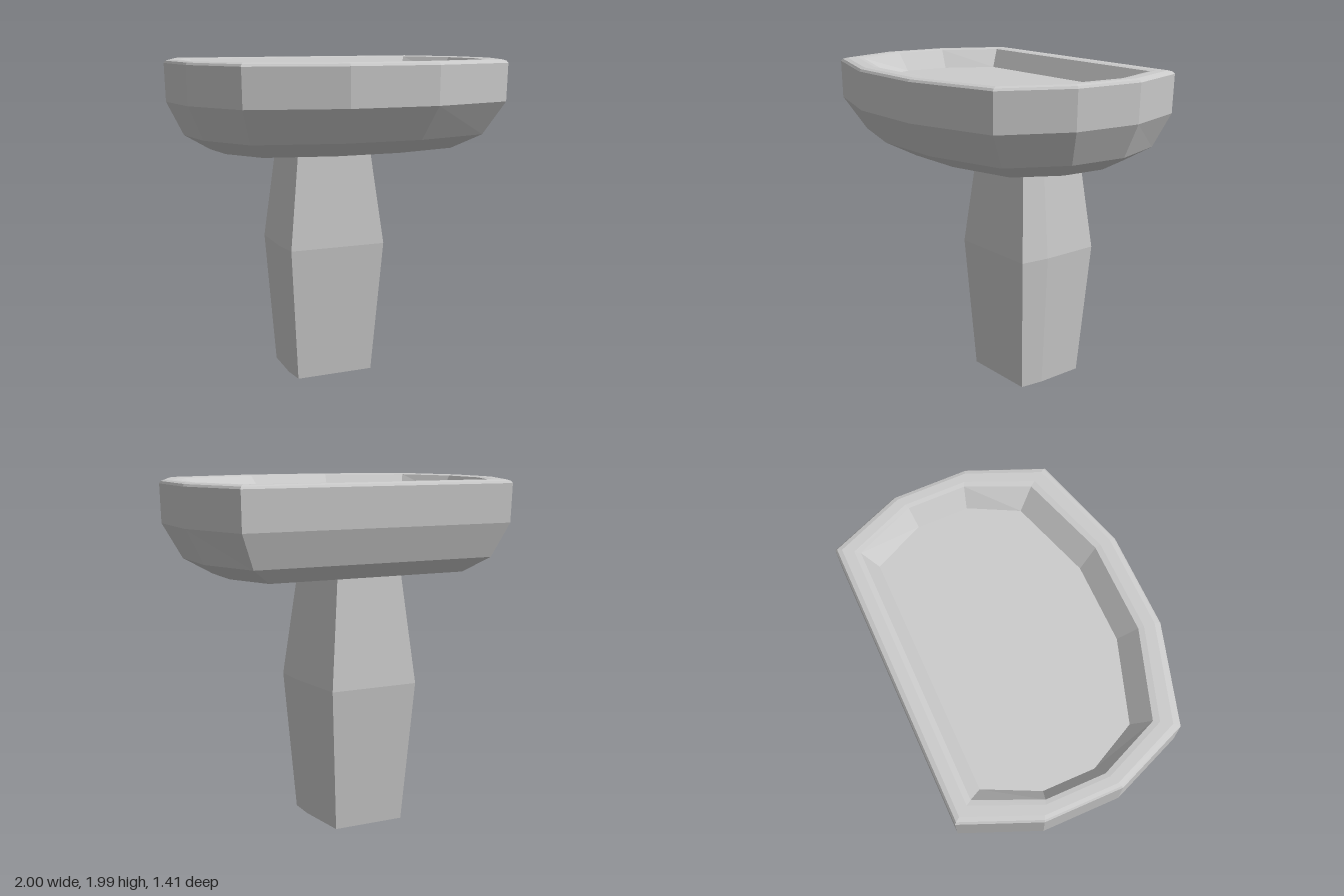
import * as THREE from 'three';

// Mirrors the +x half of an outline (listed back to front) into a closed loop
const mirrored = (half) => [...half, ...half.map(([x, z]) => [-x, z]).reverse()];

// Places an outline at height y, scaled in x and z and shifted along z
const ring = (outline, y, sx = 1, sz = sx, dz = 0) =>
  outline.map(([x, z]) => [x * sx, y, z * sz + dz]);

// Blends two outlines at height y
const blend = (a, b, t, y) =>
  a.map(([x, z], i) => [x + (b[i][0] - x) * t, y, z + (b[i][1] - z) * t]);

// Skins a stack of rings and caps both ends
function loft(name, rings) {
  const n = rings[0].length;
  const index = [];
  for (let r = 0; r < rings.length - 1; r++) {
    for (let i = 0; i < n; i++) {
      const j = (i + 1) % n;
      const a = r * n + i, b = r * n + j, c = b + n, d = a + n;
      index.push(a, d, c, a, c, b);
    }
  }
  const top = (rings.length - 1) * n;
  for (let i = 1; i < n - 1; i++) {
    index.push(0, i, i + 1, top, top + i + 1, top + i);
  }
  const indexed = new THREE.BufferGeometry();
  indexed.setAttribute('position', new THREE.Float32BufferAttribute(rings.flat(2), 3));
  indexed.setIndex(index);
  const geometry = indexed.toNonIndexed();
  geometry.computeVertexNormals();
  const material = new THREE.MeshStandardMaterial({ color: 0xcccccc, flatShading: true });
  const mesh = new THREE.Mesh(geometry, material);
  mesh.name = name;
  return mesh;
}

export function createModel() {
  const group = new THREE.Group();
  group.name = 'pedestalSink';

  const outer = mirrored([[0.83, -0.71], [1, -0.3], [1, 0.13], [0.83, 0.54], [0.275, 0.705]]);
  const inner = mirrored([[0.75, -0.59], [0.9, -0.25], [0.9, 0.08], [0.75, 0.42], [0.26, 0.58]]);
  const floor = mirrored([[0.69, -0.52], [0.83, -0.23], [0.83, 0.06], [0.69, 0.33], [0.23, 0.48]]);

  // Basin: underside, outer wall, rounded rim, inner wall and floor
  group.add(loft('basin', [
    ring(outer, 1.45, 0.735, 0.65, -0.08),
    ring(outer, 1.54, 0.89, 0.85, -0.04),
    ring(outer, 1.74, 0.993),
    ring(outer, 1.965),
    blend(outer, inner, 0.08, 1.978),
    blend(outer, inner, 0.28, 1.985),
    blend(outer, inner, 0.75, 1.985),
    blend(outer, inner, 1, 1.98),
    ring(floor, 1.87),
  ]));

  // Pedestal: narrower at the back, widest near the middle
  const column = mirrored([[0.84, -1], [1, -0.33], [1, 0]]);
  group.add(loft('pedestal', [
    ring(column, 0, 0.253, 0.465, -0.085),
    ring(column, 0.83, 0.315, 0.575, -0.035),
    ring(column, 1.455, 0.24, 0.45, -0.09),
  ]));

  return group;
}
